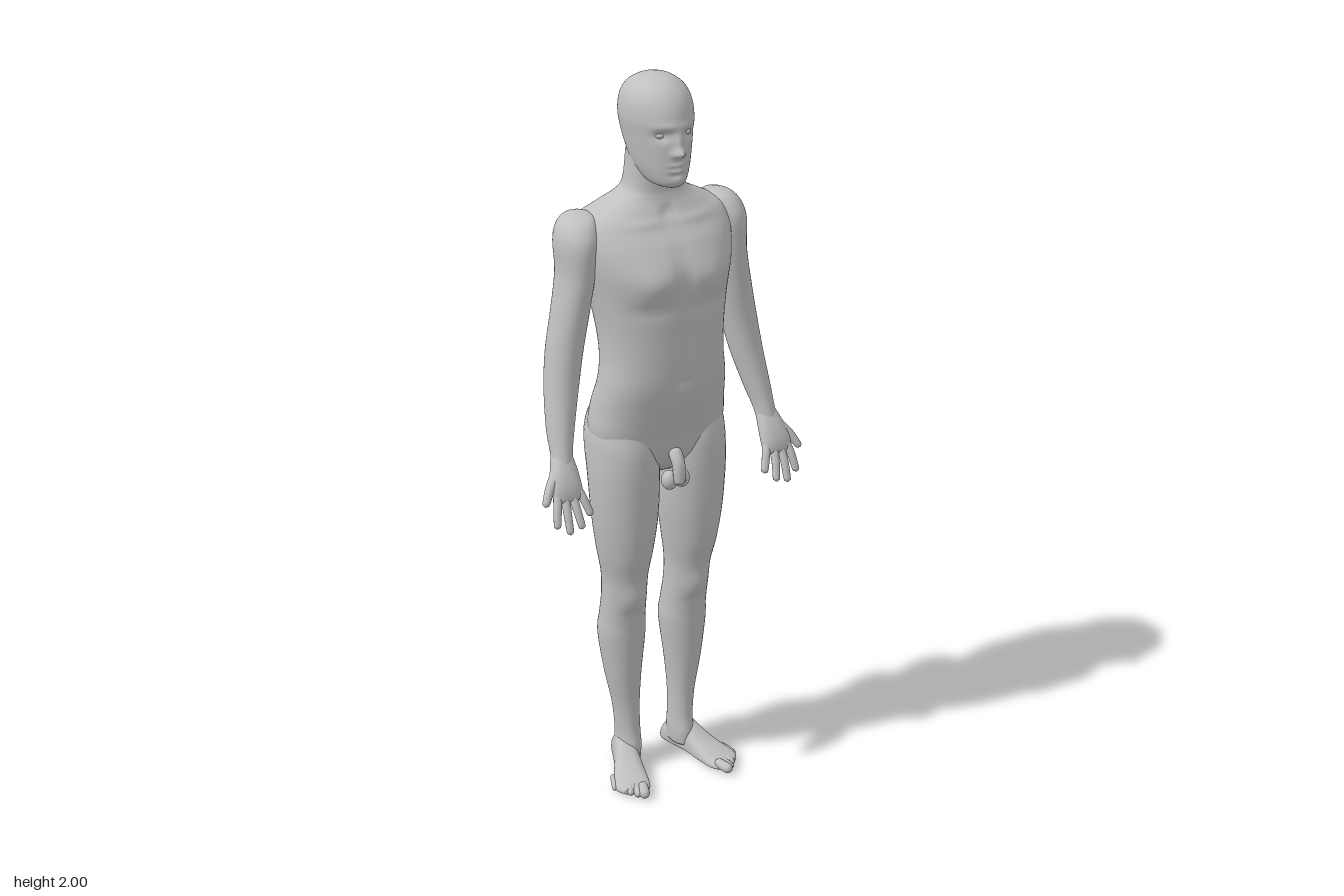
import * as THREE from 'three';
import { mergeVertices } from 'three/addons/utils/BufferGeometryUtils.js';

// Smooth interpolation through rows of numbers
function sampleRows(rows, t) {
  const i = Math.min(Math.floor(t), rows.length - 2), f = t - i;
  const at = k => rows[Math.max(0, Math.min(rows.length - 1, k))];
  return rows[i].map((b, c) => {
    const a = at(i - 1)[c], d = at(i + 1)[c], e = at(i + 2)[c];
    return b + 0.5 * f * (d - a + f * (2 * a - 5 * b + 4 * d - e + f * (3 * (b - d) + e - a)));
  });
}

// Loft of rings going up: row = [y, centreX, halfWidth, frontZ, backZ, sideZ]
// bump = [x, y, side (1 front, -1 back), spreadX, spreadY, amount], mirrored in x
function loft(rows, { seg = 40, sub = 6, pow = 1, bumps = [] } = {}) {
  const pos = [], idx = [], rings = (rows.length - 1) * sub;
  for (let i = 0; i <= rings; i++) {
    const [y, cx, rx, zf, zb, zs] = sampleRows(rows, i / sub);
    for (let j = 0; j < seg; j++) {
      const a = (j / seg) * Math.PI * 2, c = Math.cos(a), s = Math.sin(a);
      const x = cx + rx * Math.sign(c) * Math.abs(c) ** pow;
      let z = zs + ((s > 0 ? zf : zb) - zs) * Math.abs(s) ** pow;
      for (const [bx, by, side, sx, sy, amt] of bumps) {
        const g = Math.exp(-(((Math.abs(x) - bx) / sx) ** 2) - ((y - by) / sy) ** 2);
        z += side * amt * g * Math.max(0, s * side) ** 0.5;
      }
      pos.push(x, y, z);
    }
  }
  for (let i = 0; i < rings; i++) for (let j = 0; j < seg; j++) {
    const a = i * seg + j, b = i * seg + (j + 1) % seg;
    idx.push(a, a + seg, b, b, a + seg, b + seg);
  }
  // End caps
  for (const [row, ring] of [[rows[0], 0], [rows[rows.length - 1], rings]]) {
    const m = pos.length / 3;
    pos.push(row[1], row[0], (row[3] + row[4]) / 2);
    for (let j = 0; j < seg; j++) {
      const a = ring * seg + j, b = ring * seg + (j + 1) % seg;
      if (ring) idx.push(a, m, b); else idx.push(a, b, m);
    }
  }
  const g = new THREE.BufferGeometry();
  g.setAttribute('position', new THREE.Float32BufferAttribute(pos, 3));
  g.setIndex(idx);
  g.computeVertexNormals();
  return g;
}

// Tapered, round-ended digit along a curve
function digit(points, r0, r1) {
  const n = 20, curve = new THREE.CatmullRomCurve3(points.map(p => new THREE.Vector3(...p)));
  let g = new THREE.TubeGeometry(curve, n, 1, 12);
  const p = g.attributes.position, v = new THREE.Vector3(), len = curve.getLength();
  for (let i = 0; i < p.count; i++) {
    const u = Math.floor(i / 13) / n, c = curve.getPointAt(u);
    const e = Math.min(1, Math.min(u, 1 - u) * len / r1);
    const r = (r0 + (r1 - r0) * u) * Math.sqrt(Math.max(0.0004, 1 - (1 - e) ** 2));
    v.fromBufferAttribute(p, i).sub(c).multiplyScalar(r).add(c);
    p.setXYZ(i, v.x, v.y, v.z);
  }
  g.deleteAttribute('uv');
  g.deleteAttribute('normal');
  g = mergeVertices(g, 1e-6);
  g.computeVertexNormals();
  return g;
}

function ball(x, y, z, rx, ry, rz) {
  return new THREE.SphereGeometry(1, 24, 16).scale(rx, ry, rz).translate(x, y, z);
}

function mirrored(geo) {
  const g = geo.clone().scale(-1, 1, 1), ix = g.index.array;
  for (let i = 0; i < ix.length; i += 3) [ix[i], ix[i + 1]] = [ix[i + 1], ix[i]];
  return g;
}

export function createModel() {
  const model = new THREE.Group();
  model.name = 'figure';
  const skin = new THREE.MeshStandardMaterial({ color: 0xc0c0c0 });
  skin.name = 'plainGrey';
  const add = (name, geo) => {
    const m = new THREE.Mesh(geo, skin);
    m.name = name;
    model.add(m);
  };
  const pair = (name, geo) => {
    add('left' + name, geo);
    add('right' + name, mirrored(geo));
  };

  // Torso and neck
  add('torso', loft([
    [0.93, 0, 0.07, 0.03, -0.07, -0.02], [0.98, 0, 0.16, 0.07, -0.11, -0.02],
    [1.05, 0, 0.188, 0.088, -0.135, -0.03], [1.12, 0, 0.185, 0.105, -0.13, -0.025],
    [1.2, 0, 0.174, 0.122, -0.107, 0], [1.27, 0, 0.166, 0.127, -0.112, 0],
    [1.35, 0, 0.17, 0.128, -0.133, -0.01], [1.45, 0, 0.187, 0.13, -0.153, -0.03],
    [1.52, 0, 0.203, 0.13, -0.163, -0.05], [1.58, 0, 0.212, 0.1, -0.163, -0.06],
    [1.63, 0, 0.205, 0.058, -0.153, -0.07], [1.66, 0, 0.155, 0.04, -0.138, -0.065],
    [1.69, 0, 0.1, 0.025, -0.12, -0.05], [1.72, 0, 0.077, 0.02, -0.11, -0.045],
    [1.8, 0, 0.07, 0.02, -0.1, -0.04],
  ], {
    seg: 72, sub: 7, pow: 0.85, bumps: [
      [0.085, 1.49, 1, 0.06, 0.045, 0.014], [0.08, 1.425, 1, 0.07, 0.02, -0.006], // chest
      [0, 1.5, 1, 0.014, 0.09, -0.008], [0, 1.3, 1, 0.01, 0.1, -0.005],
      [0, 1.215, 1, 0.012, 0.01, -0.008], // navel
      [0.07, 1.635, 1, 0.06, 0.012, 0.006], [0, 1.655, 1, 0.014, 0.018, -0.01], // collar
      [0, 1.35, -1, 0.025, 0.25, -0.018], [0.1, 1.53, -1, 0.06, 0.07, 0.008], // spine, shoulder blades
    ],
  }));

  // Head and face
  add('head', loft([
    [1.728, 0, 0.02, 0.07, 0.01, 0.035], [1.735, 0, 0.04, 0.085, -0.01, 0.025],
    [1.75, 0, 0.054, 0.093, -0.05, 0.01], [1.78, 0, 0.068, 0.095, -0.095, -0.01],
    [1.82, 0, 0.077, 0.095, -0.118, -0.02], [1.86, 0, 0.084, 0.095, -0.133, -0.03],
    [1.9, 0, 0.089, 0.093, -0.142, -0.03], [1.94, 0, 0.085, 0.08, -0.136, -0.03],
    [1.97, 0, 0.07, 0.057, -0.115, -0.03], [1.99, 0, 0.043, 0.025, -0.08, -0.03],
    [1.998, 0, 0.018, -0.008, -0.05, -0.03], [2, 0, 0.002, -0.028, -0.032, -0.03],
  ], {
    seg: 96, sub: 8, bumps: [
      [0.036, 1.868, 1, 0.018, 0.014, -0.014], [0.03, 1.89, 1, 0.03, 0.01, 0.005], // sockets, brow
      [0, 1.852, 1, 0.01, 0.024, 0.012], [0, 1.826, 1, 0.012, 0.012, 0.022], // nose
      [0.013, 1.822, 1, 0.009, 0.009, 0.007],
      [0, 1.793, 1, 0.022, 0.006, 0.006], [0, 1.779, 1, 0.018, 0.006, 0.006], // lips
      [0, 1.786, 1, 0.024, 0.003, -0.004], [0, 1.767, 1, 0.022, 0.006, -0.004],
      [0, 1.75, 1, 0.02, 0.012, 0.004],
    ],
  }));
  pair('Eye', ball(0.036, 1.867, 0.064, 0.013, 0.009, 0.011));

  // Legs, with the seat formed by their upper ends
  pair('Leg', loft([
    [0.03, 0.082, 0.03, 0.01, -0.09, -0.045], [0.07, 0.083, 0.034, 0.012, -0.088, -0.045],
    [0.12, 0.084, 0.034, 0.003, -0.084, -0.045], [0.2, 0.088, 0.038, 0.001, -0.09, -0.045],
    [0.3, 0.094, 0.051, 0.008, -0.108, -0.048], [0.42, 0.095, 0.065, 0.017, -0.125, -0.052],
    [0.48, 0.095, 0.062, 0.022, -0.117, -0.045], [0.55, 0.096, 0.06, 0.037, -0.103, -0.035],
    [0.62, 0.097, 0.062, 0.048, -0.1, -0.03], [0.7, 0.099, 0.075, 0.068, -0.106, -0.025],
    [0.8, 0.099, 0.088, 0.08, -0.116, -0.022], [0.92, 0.1, 0.094, 0.086, -0.133, -0.022],
    [1, 0.1, 0.094, 0.085, -0.157, -0.03], [1.05, 0.098, 0.091, 0.076, -0.163, -0.03],
    [1.1, 0.092, 0.082, 0.06, -0.145, -0.03], [1.15, 0.085, 0.05, 0.03, -0.1, -0.03],
  ], {
    bumps: [
      [0.097, 0.565, 1, 0.03, 0.035, 0.008], [0.097, 0.51, 1, 0.03, 0.015, -0.004], // knee
      [0.09, 0.945, -1, 0.06, 0.018, -0.008], // seat fold
    ],
  }));

  // Feet: lofted heel to toe, laid flat and turned outward
  pair('Foot', loft([
    [-0.022, 0, 0.012, 0, -0.03, -0.015], [-0.018, 0, 0.025, 0, -0.045, -0.02],
    [0, 0, 0.033, 0, -0.07, -0.025], [0.04, 0.001, 0.035, 0, -0.1, -0.025],
    [0.085, 0.003, 0.036, 0, -0.083, -0.022], [0.13, 0.005, 0.043, 0, -0.056, -0.018],
    [0.175, 0.007, 0.049, 0, -0.038, -0.015], [0.205, 0.006, 0.047, -0.002, -0.028, -0.014],
    [0.222, 0.002, 0.034, -0.005, -0.022, -0.013],
  ], { pow: 0.8 }).rotateX(Math.PI / 2).rotateY(0.3).translate(0.078, 0, -0.084));
  for (let i = 0; i < 5; i++) {
    const k = i / 4, r = i ? 0.0105 - 0.002 * k : 0.0145;
    const tx = 0.136 + 0.054 * k, tz = 0.165 - 0.055 * k - 0.02 * k * k;
    pair('Toe' + (i + 1), digit(
      [[tx - 0.02, 0.02, tz - 0.055], [tx - 0.007, 0.018, tz - 0.022], [tx, r + 0.001, tz]], r, r));
  }

  // Arms
  pair('Arm', loft([
    [1.01, 0.307, 0.029, 0.066, 0.012, 0.04], [1.05, 0.302, 0.029, 0.055, -0.015, 0.02],
    [1.1, 0.294, 0.035, 0.042, -0.045, 0], [1.2, 0.275, 0.044, 0.021, -0.08, -0.03],
    [1.3, 0.257, 0.048, 0.012, -0.1, -0.045], [1.4, 0.238, 0.048, 0.015, -0.105, -0.048],
    [1.5, 0.221, 0.047, 0.023, -0.118, -0.05], [1.58, 0.214, 0.054, 0.026, -0.132, -0.055],
    [1.62, 0.207, 0.052, 0.012, -0.13, -0.06], [1.645, 0.2, 0.038, -0.012, -0.115, -0.065],
    [1.655, 0.195, 0.015, -0.045, -0.085, -0.065],
  ], { sub: 7 }));

  // Hands, palms forward with the thumbs outward
  pair('Palm', loft([
    [0.935, 0.312, 0.036, 0.093, 0.068, 0.08], [0.945, 0.312, 0.042, 0.095, 0.06, 0.078],
    [0.97, 0.313, 0.043, 0.09, 0.046, 0.066], [1, 0.31, 0.038, 0.077, 0.026, 0.05],
    [1.03, 0.306, 0.03, 0.06, 0.006, 0.032], [1.05, 0.303, 0.024, 0.045, -0.003, 0.02],
  ], { pow: 0.85 }));
  const fingers = {
    Thumb: [[0.325, 1.005, 0.045], [0.358, 0.97, 0.066], [0.382, 0.932, 0.086]],
    IndexFinger: [[0.338, 0.965, 0.07], [0.35, 0.922, 0.092], [0.359, 0.873, 0.108]],
    MiddleFinger: [[0.321, 0.96, 0.072], [0.325, 0.91, 0.098], [0.326, 0.853, 0.118]],
    RingFinger: [[0.303, 0.96, 0.072], [0.298, 0.913, 0.098], [0.291, 0.862, 0.117]],
    LittleFinger: [[0.286, 0.965, 0.07], [0.272, 0.928, 0.09], [0.26, 0.888, 0.105]],
  };
  for (const [name, path] of Object.entries(fingers)) {
    pair(name, digit(path, name === 'Thumb' ? 0.017 : 0.0125, 0.0095));
  }

  // Groin anatomy
  add('groinFront', digit([[0, 1.01, 0.07], [0, 0.975, 0.098], [0, 0.915, 0.105]], 0.019, 0.016));
  pair('GroinSide', ball(0.018, 0.925, 0.082, 0.022, 0.027, 0.022));

  return model;
}
